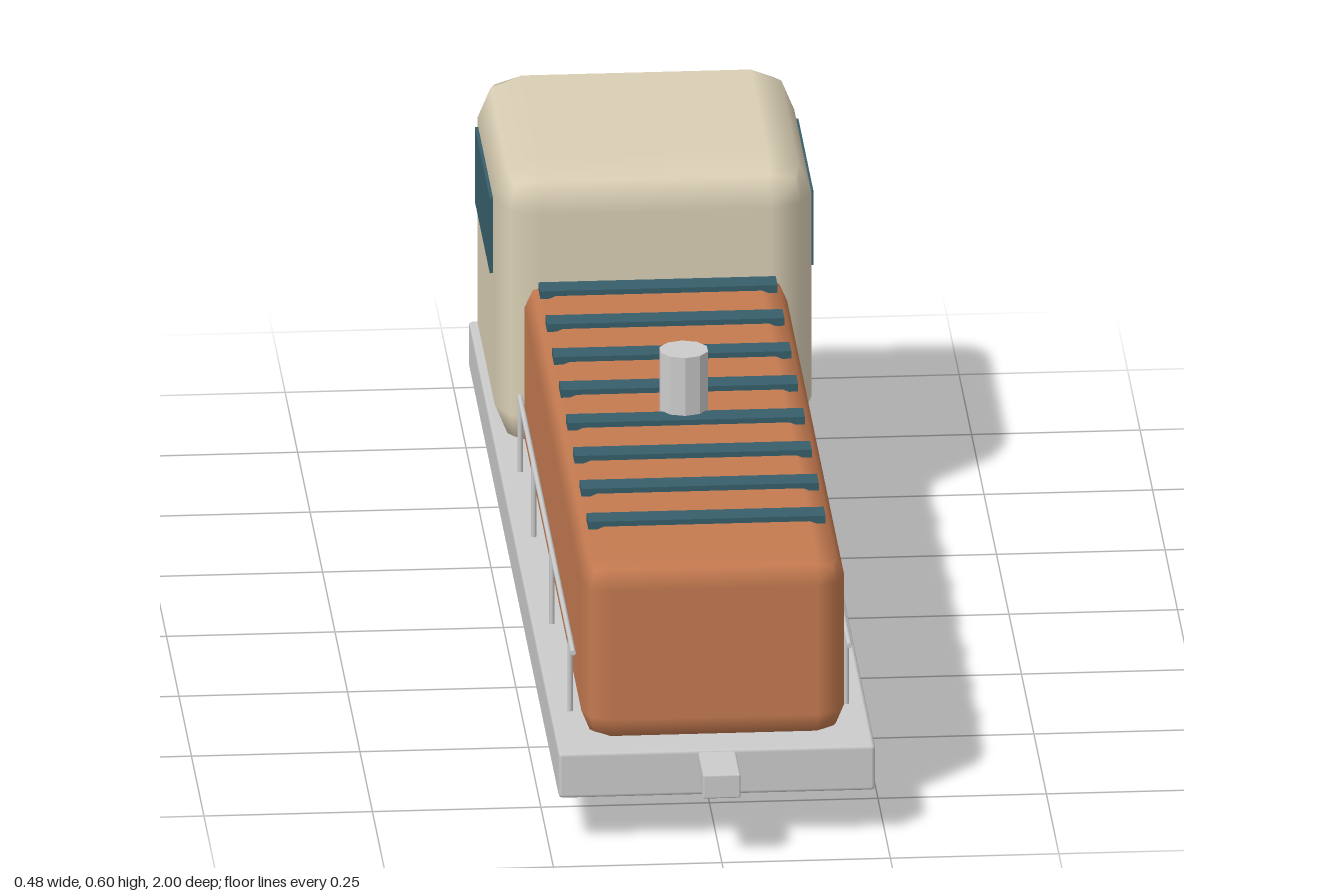
import * as THREE from 'three';

const mat = (color, extra = {}) => new THREE.MeshStandardMaterial({ color, ...extra });

export function createModel() {
  const grey = mat(0xcccccc);
  const facetedGrey = mat(0xcccccc, { flatShading: true });
  const orange = mat(0xc47a50);
  const cream = mat(0xdacfb5);
  const teal = mat(0x375f6b);
  const black = mat(0x2b2b2b);

  const model = new THREE.Group();
  model.name = 'locomotive';

  function add(name, geometry, material, x = 0, y = 0, z = 0, parent = model) {
    const mesh = new THREE.Mesh(geometry, material);
    mesh.name = name;
    mesh.position.set(x, y, z);
    parent.add(mesh);
    return mesh;
  }

  // Box with two-step rounded edges: flat faces, smooth normals around corners
  function softBox(w, h, d, r) {
    const geo = new THREE.BoxGeometry(1, 1, 1, 3, 3, 3);
    const pos = geo.attributes.position, nor = geo.attributes.normal;
    const p = new THREE.Vector3(), n = new THREE.Vector3();
    const dir = (c) => (Math.abs(c) > 0.4 ? Math.sign(c) : 0);
    for (let i = 0; i < pos.count; i++) {
      p.fromBufferAttribute(pos, i);
      n.set(dir(p.x), dir(p.y), dir(p.z)).normalize();
      pos.setXYZ(i,
        Math.sign(p.x) * (w / 2 - r) + n.x * r,
        Math.sign(p.y) * (h / 2 - r) + n.y * r,
        Math.sign(p.z) * (d / 2 - r) + n.z * r);
      nor.setXYZ(i, n.x, n.y, n.z);
    }
    return geo;
  }

  // Chassis and couplers
  add('chassis', softBox(0.47, 0.072, 1.81, 0.006), grey, 0, 0.107, 0);
  for (const s of [1, -1]) {
    add('coupler', softBox(0.056, 0.038, 0.12, 0.003), grey, 0, 0.12, s * 0.94);
  }

  // Engine hood and cab
  add('hood', softBox(0.39, 0.288, 1.32, 0.042), orange, 0, 0.279, 0.2);
  add('cab', softBox(0.47, 0.453, 0.475, 0.065), cream, 0, 0.37, -0.553);

  // Cab windows and lamps
  for (const s of [1, -1]) {
    add('sideWindow', new THREE.BoxGeometry(0.012, 0.118, 0.3), teal, s * 0.234, 0.464, -0.56);
    const lamp = add('lamp', new THREE.CylinderGeometry(0.021, 0.021, 0.03, 14), cream, s * 0.12, 0.384, -0.797);
    lamp.rotation.x = Math.PI / 2;
  }
  add('rearWindow', new THREE.BoxGeometry(0.4, 0.118, 0.012), teal, 0, 0.464, -0.79);

  // Slats across the hood and exhaust stack
  for (let i = 0; i < 8; i++) {
    add('slat', new THREE.BoxGeometry(0.352, 0.012, 0.038), teal, 0, 0.425, -0.28 + i * 0.1375);
  }
  add('exhaustStack', new THREE.CylinderGeometry(0.037, 0.037, 0.113, 10), facetedGrey, 0, 0.466, 0.235);

  // Handrails
  for (const s of [1, -1]) {
    const rail = add('handrail', new THREE.CylinderGeometry(0.004, 0.004, 1.07, 8), grey, s * 0.205, 0.258, 0.255);
    rail.rotation.x = Math.PI / 2;
    for (const z of [0.727, 0.363, 0, -0.272]) {
      add('railPost', new THREE.CylinderGeometry(0.004, 0.004, 0.12, 8), grey, s * 0.205, 0.2, z);
    }
  }

  // Wheels: rounded tyre, rim ring, spokes and hub, turned about x
  const tyreProfile = [];
  for (let i = 0; i <= 12; i++) {
    const a = (i / 12) * Math.PI * 2;
    tyreProfile.push(new THREE.Vector2(0.055 + Math.cos(a) * 0.011, Math.sin(a) * 0.016));
  }
  const tyreGeo = new THREE.LatheGeometry(tyreProfile, 28);
  const rimProfile = [[0.038, -0.013], [0.047, -0.013], [0.047, 0.013], [0.038, 0.013], [0.038, -0.013]]
    .map(([r, y]) => new THREE.Vector2(r, y));
  const rimGeo = new THREE.LatheGeometry(rimProfile, 24);
  const hubGeo = new THREE.CylinderGeometry(0.012, 0.012, 0.042, 12);
  const spokeGeo = new THREE.BoxGeometry(0.082, 0.014, 0.008);

  function wheel(x, z) {
    const g = new THREE.Group();
    g.name = 'wheel';
    add('tyre', tyreGeo, black, 0, 0, 0, g);
    add('rim', rimGeo, mat(0x667780, { flatShading: true, side: THREE.DoubleSide }), 0, 0, 0, g);
    add('hub', hubGeo, teal, 0, 0, 0, g);
    for (let i = 0; i < 3; i++) {
      add('spoke', spokeGeo, grey, 0, 0, 0, g).rotation.y = (i * Math.PI) / 3;
    }
    g.rotation.z = Math.PI / 2;
    g.position.set(x, 0.066, z);
    model.add(g);
  }

  for (const s of [1, -1]) {
    for (const z of [0.58, 0, -0.58]) wheel(s * 0.192, z);
    // Suspension bars on the outer axles
    for (const z of [0.58, -0.58]) {
      add('suspensionBar', new THREE.BoxGeometry(0.05, 0.02, 0.3), black, s * 0.175, 0.065, z);
    }
  }

  return model;
}
